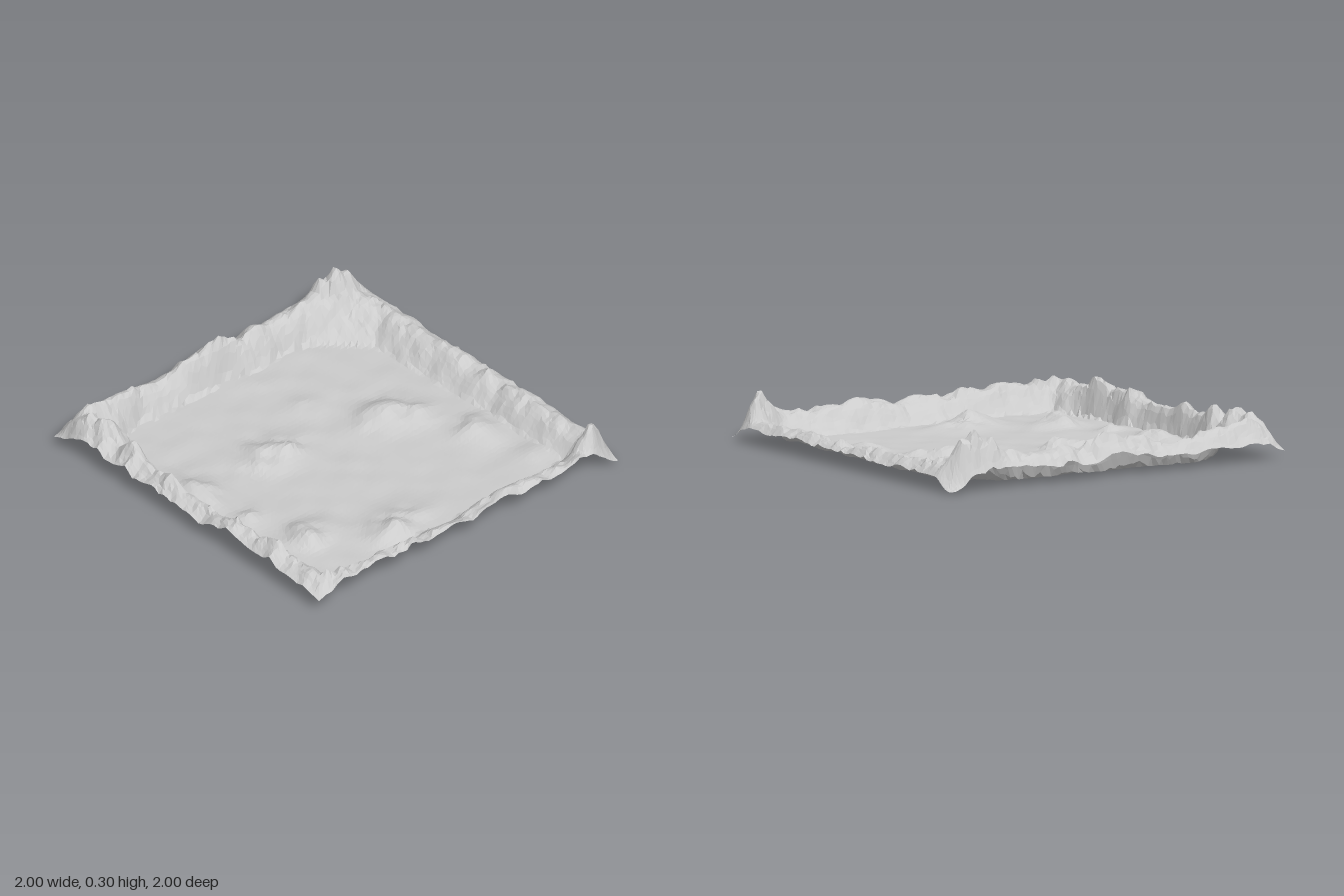
import * as THREE from 'three';

const { lerp, clamp, smoothstep } = THREE.MathUtils;

// Seeded value noise, roughly -1..1
const hash = (i, j) => {
  const s = Math.sin(i * 127.1 + j * 311.7) * 43758.5453;
  return (s - Math.floor(s)) * 2 - 1;
};
const ease = t => t * t * (3 - 2 * t);
function noise(x, y) {
  const i = Math.floor(x), j = Math.floor(y);
  const u = ease(x - i), v = ease(y - j);
  const a = lerp(hash(i, j), hash(i + 1, j), u);
  const b = lerp(hash(i, j + 1), hash(i + 1, j + 1), u);
  return lerp(a, b, v);
}

// Smooth lookup in evenly spaced values, t from -1 to 1
function sample(list, t) {
  const f = clamp((t + 1) / 2, 0, 1) * (list.length - 1);
  const i = Math.min(Math.floor(f), list.length - 2);
  return lerp(list[i], list[i + 1], ease(f - i));
}

// Each cliff: foot lines and crest heights from -1 to 1,
// crest position between foot (0) and edge (1), share of the height left at the edge
const sides = {
  back: { feet: [0.83, 0.83, 0.82, 0.81, 0.8], ridge: 0.55, edge: 0.55,
    heights: [0.15, 0.16, 0.155, 0.13, 0.175, 0.19, 0.15, 0.165, 0.18, 0.21, 0.19] },
  front: { feet: [0.84, 0.85, 0.83, 0.81, 0.83], ridge: 0.85, edge: 0.95,
    heights: [0.12, 0.13, 0.14, 0.125, 0.12, 0.115, 0.135, 0.125, 0.13, 0.14, 0.13] },
  left: { feet: [0.82, 0.83, 0.85, 0.845, 0.84], ridge: 0.5, edge: 0.75,
    heights: [0.14, 0.16, 0.17, 0.17, 0.13, 0.17, 0.14, 0.15, 0.165, 0.145, 0.125,
      0.125, 0.145, 0.18, 0.165, 0.17, 0.175, 0.13, 0.12, 0.13, 0.12] },
  right: { feet: [0.78, 0.78, 0.79, 0.8, 0.83], ridge: 0.7, edge: 0.65,
    heights: [0.18, 0.16, 0.13, 0.11, 0.12, 0.11, 0.11, 0.125, 0.11, 0.11, 0.13] },
};
const cliff = (u, ridge, edge) => (u < ridge
  ? Math.sin(u / ridge * Math.PI / 2) ** 1.15
  : Math.max(0.2, 1 - (1 - edge) * ((u - ridge) / (1 - ridge)) ** 1.3));

// [x, z, radius x, radius z, height]
const mounds = [
  [-0.27, -0.19, 0.17, 0.13, 0.045], [-0.2, -0.15, 0.06, 0.05, 0.025],
  [0.4, -0.08, 0.16, 0.11, 0.05], [0.52, 0.04, 0.11, 0.08, 0.045],
  [-0.57, 0.44, 0.12, 0.11, 0.045], [-0.63, 0.51, 0.06, 0.06, 0.03],
  [-0.2, 0.68, 0.18, 0.12, 0.04], [-0.27, 0.74, 0.1, 0.05, 0.03],
  [-0.75, -0.2, 0.11, 0.17, 0.05], [-0.75, 0.14, 0.11, 0.09, 0.035],
  [0.66, 0.32, 0.11, 0.1, 0.055], [0.17, -0.4, 0.1, 0.08, 0.015],
  [0.73, 0.66, 0.1, 0.1, 0.025], [0.1, -0.69, 0.06, 0.06, 0.008],
];
const peaks = [
  [0.82, -0.92, 0.1, 0.08, 0.07], [0.68, -0.94, 0.06, 0.06, 0.05], [0.87, 0.91, 0.08, 0.07, 0.14],
  [-0.83, -0.72, 0.11, 0.11, 0.06], [-0.85, -0.53, 0.08, 0.06, 0.045],
  [-0.85, 0.88, 0.11, 0.08, 0.07], [-0.9, -0.9, 0.09, 0.07, 0.04],
];
// Places where the foot of a cliff pushes inward
const bulges = [[-0.78, -0.7, 0.12, 0.17, 0.1], [-0.82, 0.76, 0.1, 0.1, 0.04]];
const bumps = (list, x, z, sharp) => list.reduce((sum, [cx, cz, rx, rz, h]) => {
  const q = ((x - cx) / rx) ** 2 + ((z - cz) / rz) ** 2;
  return sum + h * Math.exp(-(q ** sharp));
}, 0);

function heightAt(x, z) {
  const sideX = x < 0 ? sides.left : sides.right;
  const sideZ = z < 0 ? sides.back : sides.front;
  // Wavering foot lines of the four cliffs
  const wave = 0.015 * noise(x * 5 + 3, z * 5) + 0.012 * noise(x * 13, z * 13 + 7)
    - bumps(bulges, x, z, 1);
  const rise = (v, foot) => Math.max(0, (Math.abs(v) - foot - wave) / (1 - foot - wave));
  const ux = rise(x, sample(sideX.feet, z)), uz = rise(z, sample(sideZ.feet, x));
  // Broad rounded bend in the back corner
  const diagonal = Math.max(0, ((x - z) / Math.SQRT2 - 0.95 - wave) / 0.42);
  const u = (ux ** 4 + uz ** 4 + diagonal ** 4) ** 0.25;

  // Blend the two nearest cliffs
  const k = (uz + 1e-4) / (ux + uz + 2e-4);
  const top = lerp(sample(sideX.heights, z), sample(sideZ.heights, x), k);
  const wall = top * cliff(u, lerp(sideX.ridge, sideZ.ridge, k), lerp(sideX.edge, sideZ.edge, k));
  const rough = 1 + 0.16 * noise(x * 11, z * 11) + 0.12 * noise(x * 24, z * 24 + 5);
  // The sheet droops at its corners, least at the front on the left side of the plan
  const depth = x > 0 ? 0.8 : z > 0 ? 0.05 : 0.45;
  const droop = 1 - depth * smoothstep(Math.abs(x) + Math.abs(z), 1.82, 2);
  const outer = 1 - 0.35 * smoothstep(Math.max(Math.abs(x), Math.abs(z)), 0.93, 1);
  const mound = bumps(mounds, x, z, 1) * (1 + 0.5 * noise(x * 13, z * 13 + 9));
  const ground = 0.008 + 0.004 * noise(x * 9, z * 9);
  return Math.max(0, ground + (wall + bumps(peaks, x, z, 1.4) * outer * Math.min(1, u * 2)) * rough * droop
    + mound * Math.max(0, 1 - u));
}

export function createModel() {
  const group = new THREE.Group();
  group.name = 'walledTerrain';

  // One open sheet, finer towards the cliffs
  const count = 80;
  const geometry = new THREE.PlaneGeometry(2, 2, count, count).rotateX(-Math.PI / 2);
  const position = geometry.attributes.position;
  const spread = v => 0.65 * v + 0.35 * Math.sin(v * Math.PI / 2);
  for (let i = 0; i < position.count; i++) {
    const px = position.getX(i), pz = position.getZ(i);
    const jitter = Math.max(Math.abs(px), Math.abs(pz)) < 0.999 ? 0.006 : 0;
    const x = spread(px) + jitter * hash(i, 1);
    const z = spread(pz) + jitter * hash(i, 2);
    position.setXYZ(i, x, heightAt(x, z), z);
  }
  geometry.computeVertexNormals();
  geometry.computeBoundingBox();
  geometry.translate(0, -geometry.boundingBox.min.y, 0);

  const terrain = new THREE.Mesh(geometry, new THREE.MeshStandardMaterial({
    color: 0xcccccc, flatShading: true, side: THREE.DoubleSide,
  }));
  terrain.name = 'groundAndCliffs';
  group.add(terrain);
  return group;
}
